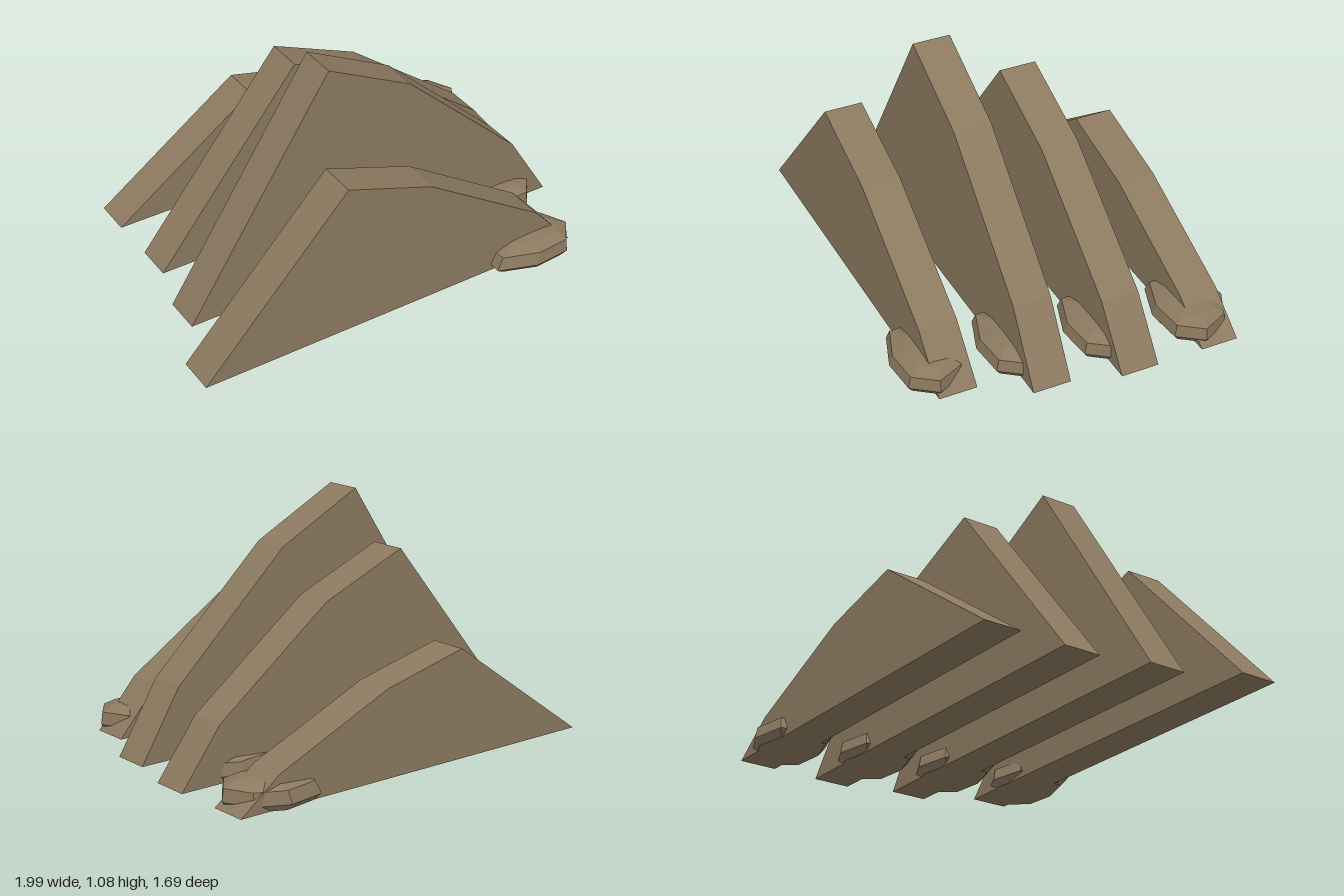
import * as THREE from 'three';

const YAW = 0.161;       // every fin is turned slightly about the vertical
const LENGTH = 1.907;
const THICK = 0.178;

// Upright slab with a steep rise, a peak and a faceted descent
function finGeometry(height) {
  const profile = [[0, 0], [1, 0], [0.895, 0.3], [0.591, 0.8], [0.37, 1]];
  const shape = new THREE.Shape(
    profile.map(([u, v]) => new THREE.Vector2((u - 0.5) * LENGTH, v * height)));
  const geo = new THREE.ExtrudeGeometry(shape, { depth: THICK, bevelEnabled: false });
  return geo.translate(0, 0, -THICK / 2);
}

// Flat faceted boulder, lofted from scaled copies of one irregular outline
function boulderGeometry() {
  const outline = [[0.235, 0], [0.17, 0.125], [0, 0.167], [-0.185, 0.135],
    [-0.207, 0], [-0.17, -0.11], [0, -0.167], [0.15, -0.122]];
  // height, scale, x shift
  const rings = [[0, 0.85, 0.01], [0.03, 1, 0], [0.088, 0.92, 0.012], [0.115, 0.6, 0.03]];
  const n = outline.length;
  const pos = [], index = [];
  for (const [y, s, dx] of rings) {
    for (const [x, z] of outline) pos.push(x * s + dx, y, z * s);
  }
  for (let r = 0; r < rings.length - 1; r++) {
    for (let i = 0; i < n; i++) {
      const a = r * n + i, b = r * n + (i + 1) % n;
      index.push(a, a + n, b, b, a + n, b + n);
    }
  }
  // Closing fans below and above
  const bottom = pos.length / 3, top = bottom + 1, last = (rings.length - 1) * n;
  pos.push(0, 0, 0, 0.05, 0.127, 0);
  for (let i = 0; i < n; i++) {
    const j = (i + 1) % n;
    index.push(bottom, i, j, top, last + j, last + i);
  }
  const geo = new THREE.BufferGeometry();
  geo.setAttribute('position', new THREE.Float32BufferAttribute(pos, 3));
  geo.setIndex(index);
  const flat = geo.toNonIndexed();
  flat.computeVertexNormals();
  return flat;
}

export function createModel() {
  const model = new THREE.Group();
  model.name = 'rockFins';
  const stone = new THREE.MeshStandardMaterial({ color: 0x8b795f });
  stone.name = 'sandyStone';
  stone.flatShading = true;

  // Fin centre x, z, height, and the z of the boulder at its foot
  const fins = [
    [-0.044, 0.6, 0.75, 0.525],
    [0.034, 0.206, 1.08, 0.135],
    [0.038, -0.191, 0.875, -0.262],
    [-0.031, -0.585, 0.5, -0.678],
  ];
  const boulderGeo = boulderGeometry();
  fins.forEach(([x, z, height, boulderZ], i) => {
    const fin = new THREE.Mesh(finGeometry(height), stone);
    fin.name = `fin${i + 1}`;
    fin.position.set(x, 0, z);
    fin.rotation.y = YAW;
    const boulder = new THREE.Mesh(boulderGeo, stone);
    boulder.name = `boulder${i + 1}`;
    boulder.position.set(0.67, 0, boulderZ);
    model.add(fin, boulder);
  });
  return model;
}
